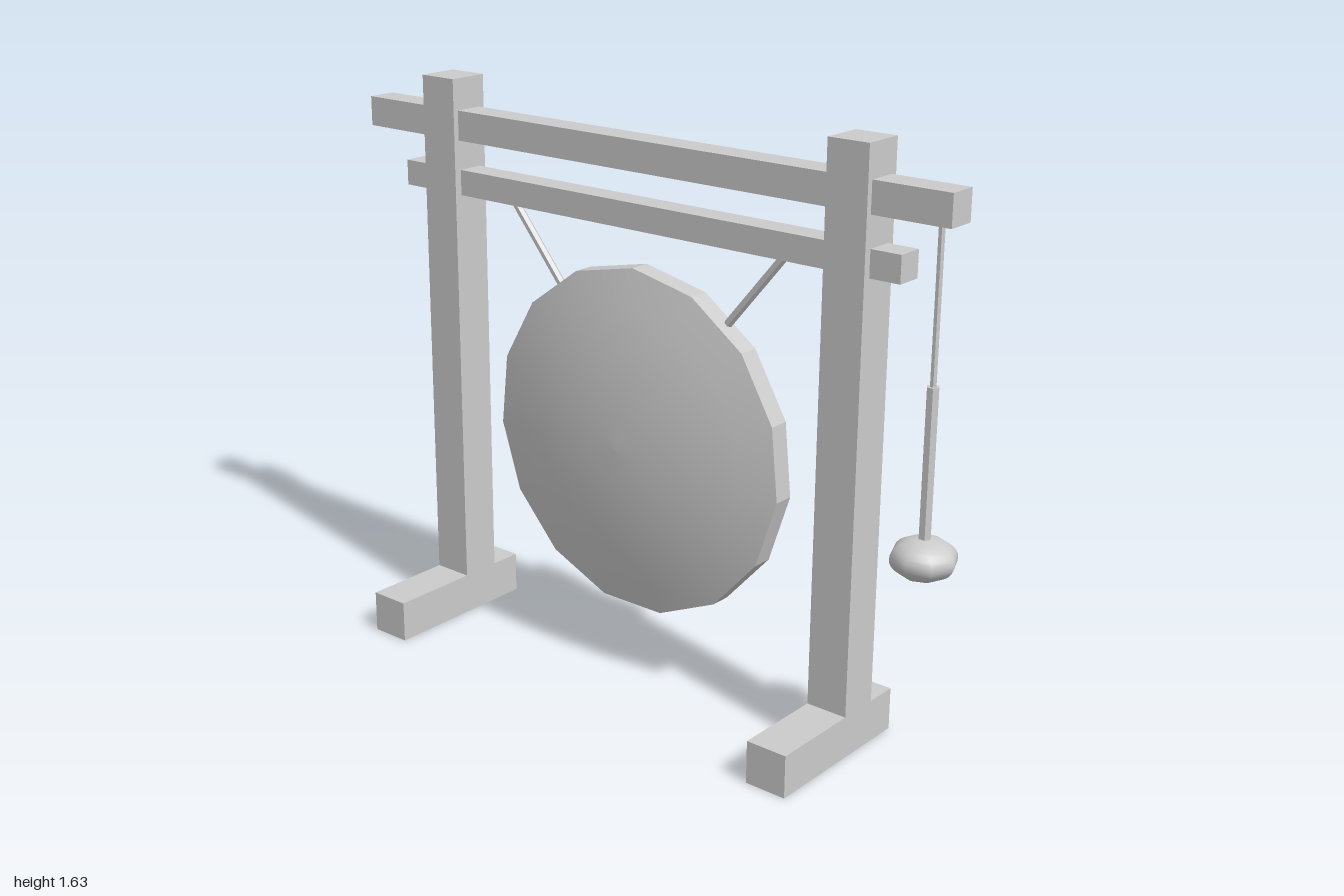
import * as THREE from 'three';

export function createModel() {
  const root = new THREE.Group();
  const smooth = new THREE.MeshStandardMaterial({ color: 0xcccccc, side: THREE.DoubleSide });
  const flat = new THREE.MeshStandardMaterial({ color: 0xcccccc, side: THREE.DoubleSide, flatShading: true });
  const X = 0.085; // plane of posts, beams and ropes

  function add(parent, name, geometry, material = flat) {
    const mesh = new THREE.Mesh(geometry, material);
    mesh.name = name;
    parent.add(mesh);
    return mesh;
  }

  // Timber is a hollow box, open on its +x side and underneath
  function timber(name, x0, x1, y0, y1, z0, z1) {
    const g = new THREE.BoxGeometry(x1 - x0, y1 - y0, z1 - z0);
    const index = Array.from(g.index.array);
    g.setIndex(index.filter((v, i) => i >= 6 && !(i >= 18 && i < 24)));
    g.clearGroups();
    g.translate((x0 + x1) / 2, (y0 + y1) / 2, (z0 + z1) / 2);
    return add(root, name, g);
  }

  // Straight thin rod between two points
  function rod(parent, name, a, b, radius, sides) {
    const dir = b.clone().sub(a);
    const mesh = add(parent, name, new THREE.CylinderGeometry(radius, radius, dir.length(), sides, 1, true));
    mesh.position.copy(a).add(b).multiplyScalar(0.5);
    mesh.quaternion.setFromUnitVectors(new THREE.Vector3(0, 1, 0), dir.normalize());
    return mesh;
  }

  // Feet and posts
  for (const [side, z] of [['front', 0.682], ['back', -0.702]]) {
    timber(side + 'Foot', -0.24, 0.24, 0, 0.12, z - 0.06, z + 0.06);
    timber(side + 'Post', 0.025, 0.145, 0.12, 1.63, z - 0.06, z + 0.06);
  }

  // Cross beams
  timber('upperBeam', 0.042, 0.126, 1.455, 1.54, -1, 0.964);
  timber('lowerBeam', 0.047, 0.123, 1.297, 1.37, -0.861, 0.83);

  // Gong: two shallow domes joined by a flat rim, turned onto the x axis
  const gong = new THREE.Group();
  gong.name = 'gong';
  gong.position.set(0.0725, 0.7, 0);
  gong.rotation.z = -Math.PI / 2;
  root.add(gong);
  const R = 0.4945, rim = 0.03, bulge = 0.0725, rings = 5;
  const turn = (pts) => new THREE.LatheGeometry(pts, 15, -Math.PI / 2);
  const dome = [];
  for (let i = 0; i <= rings; i++) {
    const t = 1 - i / rings;
    dome.push(new THREE.Vector2(R * t, rim + bulge * (1 - t * t)));
  }
  add(gong, 'leftDome', turn(dome), smooth);
  add(gong, 'rightDome', turn(dome.map((p) => new THREE.Vector2(p.x, -p.y)).reverse()), smooth);
  add(gong, 'rim', turn([new THREE.Vector2(R, -rim), new THREE.Vector2(R, rim)]));

  // Ropes holding the gong
  for (const s of [1, -1]) {
    rod(root, s > 0 ? 'frontRope' : 'backRope',
      new THREE.Vector3(X, 1.08, s * 0.285), new THREE.Vector3(X, 1.33, s * 0.492), 0.012, 6);
  }

  // Mallet hanging from the beam end
  const mallet = new THREE.Group();
  mallet.name = 'mallet';
  mallet.position.set(X, 0, 0.913);
  root.add(mallet);
  const at = (y) => new THREE.Vector3(0, y, 0);
  rod(mallet, 'malletCord', at(1.05), at(1.465), 0.009, 6);
  add(mallet, 'malletHandle', new THREE.CylinderGeometry(0.017, 0.017, 0.41, 6)).position.y = 0.845;
  const head = add(mallet, 'malletHead', new THREE.SphereGeometry(0.0875, 8, 16), smooth);
  head.scale.y = 0.63;
  head.position.y = 0.6;

  return root;
}
